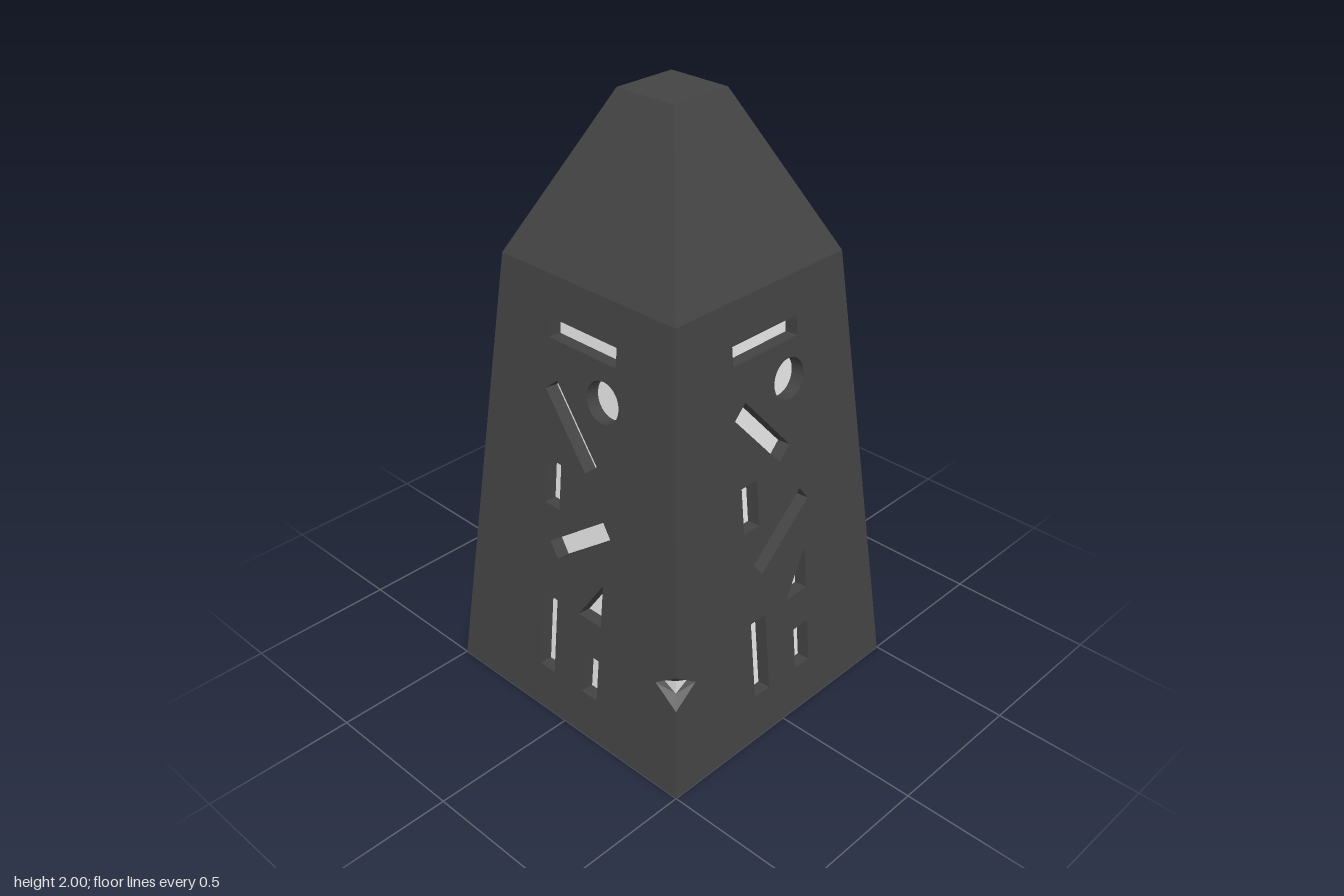
import * as THREE from 'three';
import { mergeGeometries } from 'three/addons/utils/BufferGeometryUtils.js';

const BASE = 0.5, SHOULDER = 0.355, SHOULDER_Y = 1.5, TIP = 0.11, HEIGHT = 2;
const SLOPE = (BASE - SHOULDER) / SHOULDER_Y;
const CARVE_DEPTH = 0.045;

// Half width of the shaft at height y
const half = (y) => BASE - SLOPE * y;

// Puts a flat point (x, y) on the sloping front face, sunk by depth
const onFace = (x, y, depth = 0) => [x, y - SLOPE * depth, half(y) - depth];

// Flat-shaded geometry from a list of triangles
function fromTriangles(tris) {
  const g = new THREE.BufferGeometry();
  g.setAttribute('position', new THREE.Float32BufferAttribute(tris.flat(2), 3));
  g.computeVertexNormals();
  return g;
}

const quad = (a, b, c, d) => [[a, b, c], [a, c, d]];

// Lays a flat shape on the sloping face
function layShape(shape, depth) {
  const g = new THREE.ShapeGeometry(shape).toNonIndexed();
  const p = g.attributes.position;
  for (let i = 0; i < p.count; i++) p.setXYZ(i, ...onFace(p.getX(i), p.getY(i), depth));
  g.computeVertexNormals();
  return g;
}

// Carved outlines, all counter-clockwise
function bar(cx, cy, w, h, degrees = 0) {
  const centre = new THREE.Vector2();
  return [[-1, -1], [1, -1], [1, 1], [-1, 1]].map(([sx, sy]) =>
    new THREE.Vector2(sx * w / 2, sy * h / 2)
      .rotateAround(centre, THREE.MathUtils.degToRad(degrees))
      .add(new THREE.Vector2(cx, cy)));
}

function disc(cx, cy, r, n = 32) {
  return Array.from({ length: n }, (_, i) => {
    const a = (i / n) * Math.PI * 2;
    return new THREE.Vector2(cx + r * Math.cos(a), cy + r * Math.sin(a));
  });
}

const carvings = [
  bar(0, 1.336, 0.28, 0.063),
  disc(0.095, 1.18, 0.066),
  bar(-0.03, 1.052, 0.28, 0.063, -49),
  bar(-0.1, 0.833, 0.068, 0.155),
  bar(0.03, 0.69, 0.28, 0.06, 36.6),
  [[0.04, 0.433], [0.138, 0.433], [0.138, 0.582]].map(([x, y]) => new THREE.Vector2(x, y)),
  bar(-0.0925, 0.295, 0.068, 0.275),
  bar(0.1035, 0.232, 0.068, 0.15),
];

// One face's share of a chip in the corner; side is 1 for right, -1 for left
function cornerChip(side, y) {
  const w = half(y), core = w - 0.025, up = y + 0.058, low = y - 0.058;
  const flip = ([a, b, c]) => (side > 0 ? [a, b, c] : [a, c, b]);
  const at = (x, py, z) => [side * x, py, z];
  const A = at(half(up), up, half(up)), B = at(half(low), low, half(low));
  const P = at(w - 0.085, y, w);
  const Q = at(core - 0.048, y, core);
  const C = at(core, y + 0.024, core), D = at(core, y - 0.024, core);
  return {
    outline: [B, P, A].map((v) => new THREE.Vector2(v[0], v[1])),
    walls: [...quad(A, P, Q, C), ...quad(P, B, D, Q)].map(flip),
    core: [flip([Q, D, C])],
  };
}

// One carved side of the shaft, facing +z
function createSide(side, chipY, stone, pale) {
  const group = new THREE.Group();
  const add = (name, geometry, material) => {
    const mesh = new THREE.Mesh(geometry, material);
    mesh.name = name;
    group.add(mesh);
  };
  const chip = cornerChip(side, chipY);

  // Tapered panel with the chip cut from one edge
  const v = (x, y) => new THREE.Vector2(x, y);
  const bottomLeft = v(-BASE, 0), bottomRight = v(BASE, 0);
  const topRight = v(SHOULDER, SHOULDER_Y), topLeft = v(-SHOULDER, SHOULDER_Y);
  const outline = side > 0
    ? [bottomLeft, bottomRight, ...chip.outline, topRight, topLeft]
    : [bottomLeft, bottomRight, topRight, topLeft, ...chip.outline.slice().reverse()];
  const panel = new THREE.Shape(outline);
  panel.holes = carvings.map((pts) => new THREE.Path(pts));
  add('panel', layShape(panel, 0), stone);

  // Walls of the carvings
  const walls = carvings.flatMap((pts) => pts.flatMap((p, i) => {
    const q = pts[(i + 1) % pts.length];
    return quad(onFace(p.x, p.y), onFace(q.x, q.y),
      onFace(q.x, q.y, CARVE_DEPTH), onFace(p.x, p.y, CARVE_DEPTH));
  }));
  add('carvingWalls', fromTriangles(walls), stone);

  // Pale floors of the carvings
  const floors = carvings.map((pts) => layShape(new THREE.Shape(pts), CARVE_DEPTH));
  add('carvingFloors', mergeGeometries(floors), pale);

  // Chip in the corner with the pale core showing
  add('chipWalls', fromTriangles(chip.walls), stone);
  add('chipCore', fromTriangles(chip.core), pale);
  return group;
}

export function createModel() {
  const stone = new THREE.MeshStandardMaterial({ color: 0x444444 });
  stone.name = 'dark stone';
  const pale = new THREE.MeshStandardMaterial({ color: 0xe8e8e8 });
  pale.name = 'pale core';

  const model = new THREE.Group();
  model.name = 'obelisk';

  // Four sides; two opposite corners are chipped, one low and one high
  for (let i = 0; i < 4; i++) {
    const sideGroup = createSide(i % 2 ? -1 : 1, i < 2 ? 0.365 : 1.15, stone, pale);
    sideGroup.name = ['frontSide', 'leftSide', 'backSide', 'rightSide'][i];
    sideGroup.rotation.y = i * Math.PI / 2;
    model.add(sideGroup);
  }

  // Blunt pyramid top
  const capGeometry = new THREE.CylinderGeometry(
    TIP * Math.SQRT2, SHOULDER * Math.SQRT2, HEIGHT - SHOULDER_Y, 4).toNonIndexed();
  capGeometry.rotateY(Math.PI / 4);
  capGeometry.computeVertexNormals();
  const cap = new THREE.Mesh(capGeometry, stone);
  cap.name = 'pyramidTop';
  cap.position.y = (HEIGHT + SHOULDER_Y) / 2;
  model.add(cap);

  // Underside
  const base = new THREE.Mesh(new THREE.PlaneGeometry(BASE * 2, BASE * 2), stone);
  base.name = 'underside';
  base.rotation.x = Math.PI / 2;
  model.add(base);

  return model;
}
